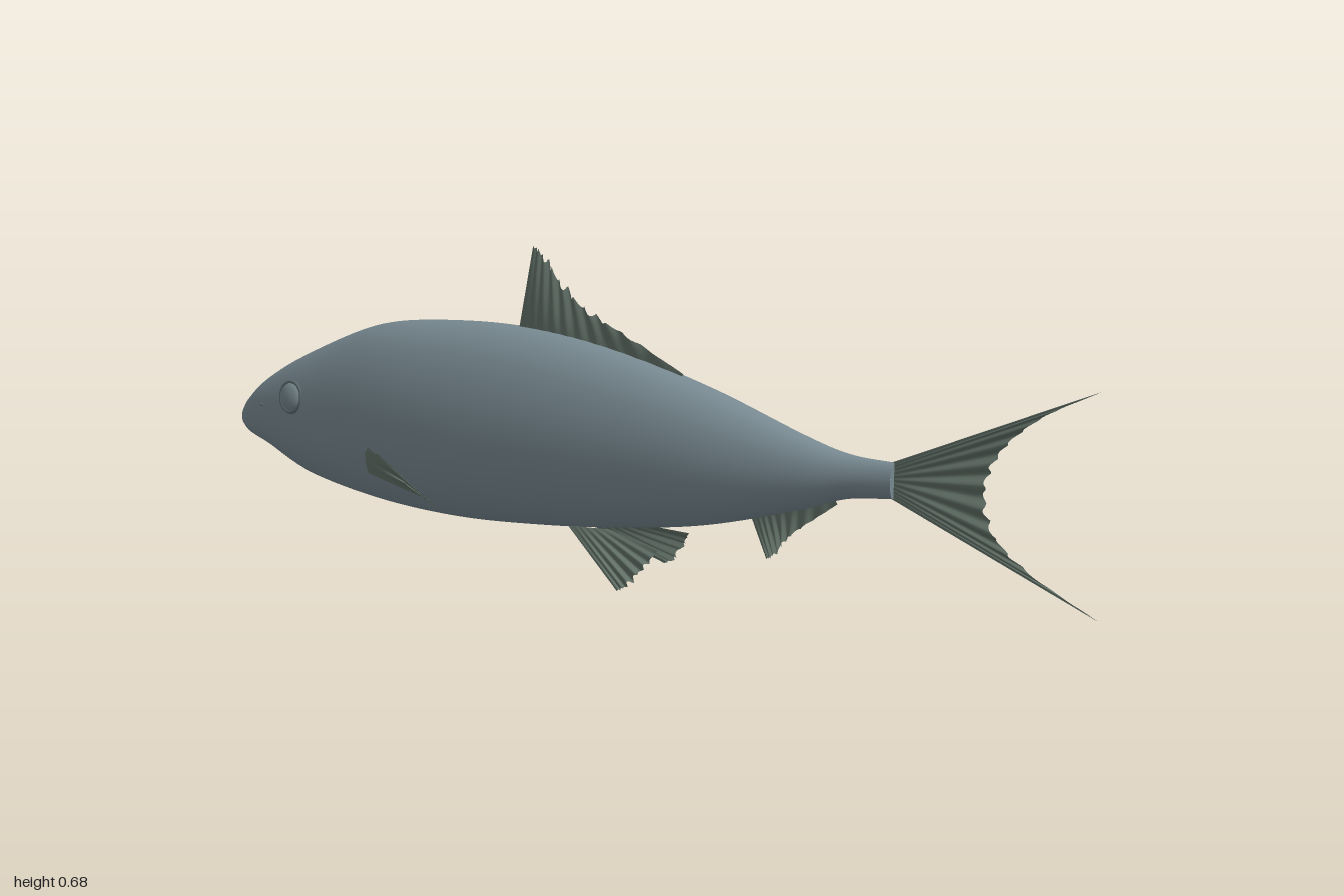
import * as THREE from 'three';

const bodyMat = new THREE.MeshStandardMaterial({ color: 0x778890 });
bodyMat.name = 'blue grey skin';
const finMat = new THREE.MeshStandardMaterial({ color: 0x617067, side: THREE.DoubleSide });
finMat.name = 'green grey fin';
const eyeMat = new THREE.MeshStandardMaterial({ color: 0x74858b });
eyeMat.name = 'eye grey';
const darkMat = new THREE.MeshStandardMaterial({ color: 0x5b6a6e });
darkMat.name = 'dark grey rim';

// Body stations: x, top y, bottom y, half width
const STATIONS = [
  [-1, 0.262, 0.222, 0.012], [-0.98, 0.29, 0.205, 0.022], [-0.92, 0.342, 0.182, 0.042],
  [-0.8, 0.41, 0.13, 0.07], [-0.6, 0.492, 0.093, 0.101], [-0.4, 0.516, 0.081, 0.115],
  [-0.2, 0.513, 0.09, 0.115], [0, 0.481, 0.11, 0.106], [0.2, 0.426, 0.143, 0.089],
  [0.4, 0.354, 0.2, 0.054], [0.5, 0.326, 0.236, 0.034], [0.595, 0.32, 0.248, 0.022],
];

const spline = (pts) =>
  new THREE.CatmullRomCurve3(pts.map((p) => new THREE.Vector3(...p)), false, 'catmullrom', 0.5);

// Grid of points from a rule, joined into quads
function gridGeometry(nu, nv, rule, wrap = false) {
  const pos = [], index = [], cols = wrap ? nv : nv + 1;
  for (let i = 0; i <= nu; i++)
    for (let j = 0; j < cols; j++) pos.push(...rule(i / nu, j / nv));
  for (let i = 0; i < nu; i++)
    for (let j = 0; j < nv; j++) {
      const k = (j + 1) % cols;
      const a = i * cols + j, b = i * cols + k, c = a + cols, d = b + cols;
      index.push(a, b, c, b, d, c);
    }
  const g = new THREE.BufferGeometry();
  g.setAttribute('position', new THREE.Float32BufferAttribute(pos, 3));
  g.setIndex(index);
  g.computeVertexNormals();
  return g;
}

function addMesh(parent, name, geometry, material) {
  const mesh = new THREE.Mesh(geometry, material);
  mesh.name = name;
  parent.add(mesh);
  return mesh;
}

// Oval sections lofted along x
function bodyGeometry() {
  const outline = spline(STATIONS.map(([x, t, b]) => [x, t, b]));
  const width = spline(STATIONS.map(([x, , , w]) => [x, w, 0]));
  return gridGeometry(88, 48, (u, v) => {
    const { x, y: top, z: bottom } = outline.getPoint(u);
    const a = v * Math.PI * 2;
    return [x, (top + bottom) / 2 + (top - bottom) / 2 * Math.cos(a), width.getPoint(u).y * Math.sin(a)];
  }, true);
}

// Pleated membrane from a root line to a ragged margin
function finGeometry(root, margin, { pleats = 9, depth = 0.007, ragged = 0.05, axis = [0, 0, 1] } = {}) {
  const r = spline(root), m = spline(margin), normal = new THREE.Vector3(...axis).normalize();
  return gridGeometry(96, 10, (u, v) => {
    const tooth = Math.abs(Math.sin(u * pleats * Math.PI * 1.5));
    const reach = 1 - ragged * tooth * Math.sin(Math.PI * u);
    const p = r.getPoint(u).lerp(m.getPoint(u), v * reach);
    const wave = Math.sin(u * pleats * Math.PI * 2) + 0.6 * Math.sin(u * 7 + v * 3);
    return p.addScaledVector(normal, depth * v * wave * Math.sin(Math.PI * u)).toArray();
  });
}

// Eyes, nostrils and paired fins of one side
function sideParts(side) {
  const g = new THREE.Group();
  g.name = side > 0 ? 'leftSide' : 'rightSide';
  const z = (pts) => pts.map(([x, y, d]) => [x, y, d * side]);

  const eye = new THREE.Group();
  eye.name = 'eye';
  eye.position.set(-0.815, 0.317, 0.061 * side);
  eye.rotation.set(-0.17 * side, (side > 0 ? 0 : Math.PI) - 0.2 * side, 0);
  addMesh(eye, 'eyeball', new THREE.SphereGeometry(0.032, 28, 16), eyeMat).scale.z = 0.4;
  addMesh(eye, 'eyeRim', new THREE.TorusGeometry(0.034, 0.0045, 8, 36), darkMat);
  g.add(eye);

  const nostril = addMesh(g, 'nostril', new THREE.SphereGeometry(0.004, 10, 8), darkMat);
  nostril.position.set(-0.915, 0.285, 0.041 * side);

  addMesh(g, 'pectoralFin', finGeometry(
    z([[-0.585, 0.24, 0.09], [-0.588, 0.205, 0.09], [-0.585, 0.17, 0.08]]),
    z([[-0.375, 0.145, 0.15], [-0.37, 0.14, 0.143], [-0.41, 0.145, 0.118]]),
    { pleats: 3, depth: 0.009, ragged: 0.04, axis: [0, 0.6, 0.8 * side] }), finMat);
  // Webbing that swells outward over the pectoral root
  addMesh(g, 'pectoralWeb', finGeometry(
    z([[-0.588, 0.24, 0.095], [-0.588, 0.205, 0.095], [-0.585, 0.175, 0.09]]),
    z([[-0.47, 0.195, 0.14], [-0.45, 0.18, 0.139], [-0.44, 0.16, 0.135]]),
    { pleats: 2, depth: 0.004, ragged: 0.02, axis: [0, 0.6, 0.8 * side] }), finMat);

  addMesh(g, 'pelvicFin', finGeometry(
    z([[-0.12, 0.106, 0.025], [-0.07, 0.108, 0.033], [-0.01, 0.112, 0.035]]),
    z([[0.045, 0.007, 0.108], [0.07, 0.02, 0.108], [0.1, 0.055, 0.09], [0.12, 0.094, 0.072]]),
    { pleats: 6, depth: 0.006, axis: [0, 0.6, 0.8 * side] }), finMat);
  return g;
}

export function createModel() {
  const fish = new THREE.Group();
  fish.name = 'fish';

  addMesh(fish, 'body', bodyGeometry(), bodyMat);

  // Closed ends of the body
  const nose = addMesh(fish, 'nose', new THREE.SphereGeometry(1, 24, 16), bodyMat);
  nose.position.set(-0.996, 0.242, 0);
  nose.scale.set(0.006, 0.0205, 0.0125);
  const stump = addMesh(fish, 'tailStump', new THREE.CircleGeometry(1, 40), bodyMat);
  stump.position.set(0.595, 0.284, 0);
  stump.rotation.y = Math.PI / 2;
  stump.scale.set(0.022, 0.036, 1);

  // Fins on the centre line
  addMesh(fish, 'dorsalFin', finGeometry(
    [[-0.25, 0.5, 0], [-0.16, 0.49, 0], [-0.04, 0.475, 0], [0.13, 0.435, 0]],
    [[-0.205, 0.69, 0.01], [-0.185, 0.68, 0.006], [-0.15, 0.63, 0], [-0.09, 0.572, -0.004],
      [0, 0.525, 0], [0.14, 0.45, 0]],
    { pleats: 10, ragged: 0.14 }), finMat);
  addMesh(fish, 'analFin', finGeometry(
    [[0.29, 0.185, 0], [0.35, 0.2, 0], [0.47, 0.24, 0]],
    [[0.33, 0.088, 0], [0.35, 0.098, 0], [0.385, 0.145, 0], [0.48, 0.222, 0]],
    { pleats: 8, ragged: 0.08 }), finMat);
  addMesh(fish, 'tailFin', finGeometry(
    [[0.585, 0.318, 0], [0.588, 0.284, 0], [0.585, 0.25, 0]],
    [[0.985, 0.5, 0.006], [0.88, 0.44, 0.003], [0.805, 0.365, -0.004], [0.78, 0.285, 0],
      [0.805, 0.2, 0.004], [0.88, 0.13, -0.003], [1, 0.063, -0.006]],
    { pleats: 11, depth: 0.006, ragged: 0.05 }), finMat);

  for (const side of [1, -1]) fish.add(sideParts(side));
  return fish;
}
